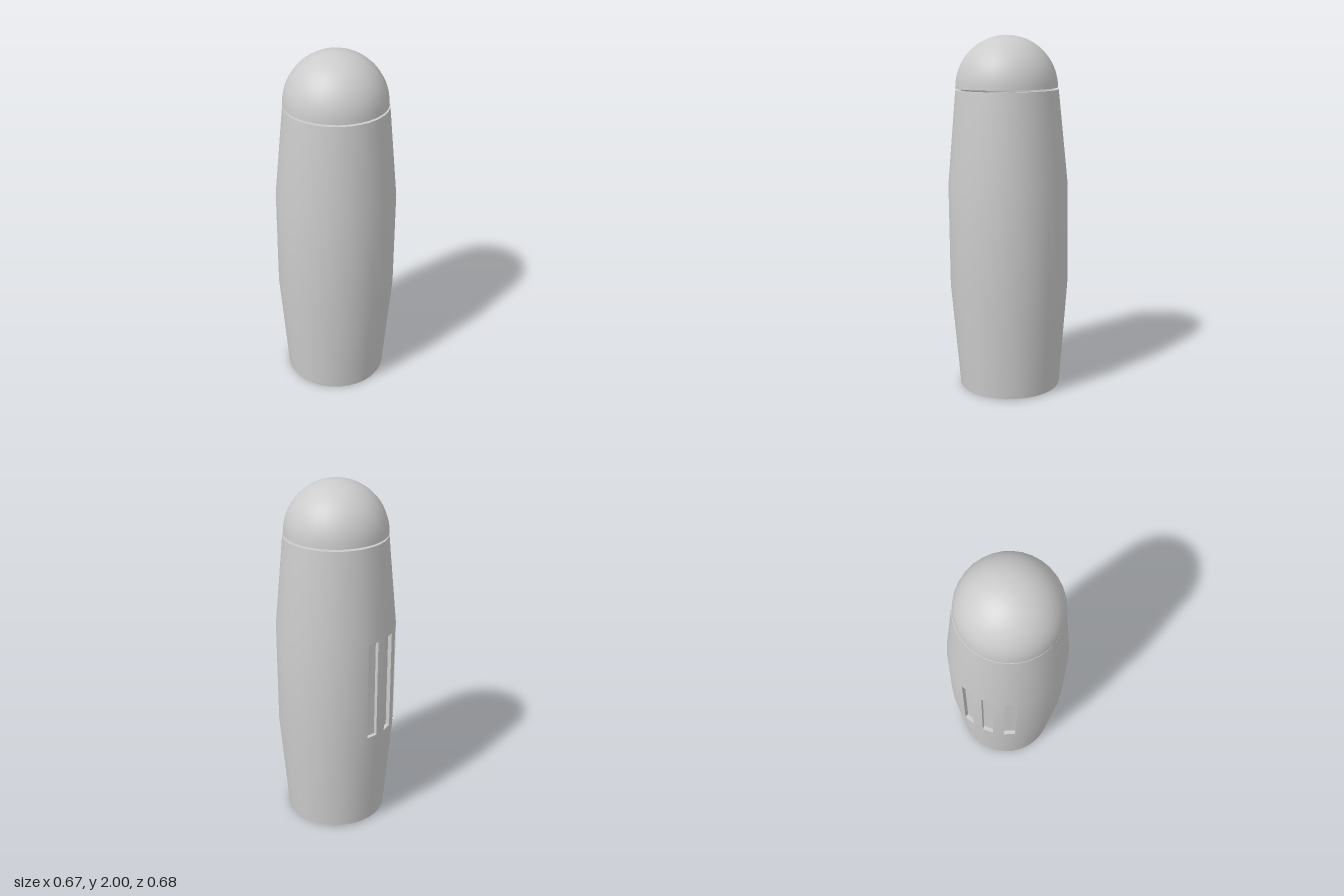
import * as THREE from 'three';

const SIDES = 32;
const STEP = (Math.PI * 2) / SIDES;
const START = 0.049;       // turn of the polygon about y
const WALL = 0.03;
const R = 0.336;           // widest radius
const SLOT_LOW = 0.6, SLOT_HIGH = 1.18, SLOT_DEPTH = 0.022;
const SLOT_FACES = [16, 18, 20];

const material = new THREE.MeshStandardMaterial({ color: 0xcccccc, side: THREE.DoubleSide });

function lathe(points) {
  return new THREE.LatheGeometry(points.map(([r, y]) => new THREE.Vector2(r, y)), SIDES, START);
}

function addMesh(parent, name, geometry) {
  const mesh = new THREE.Mesh(geometry, material);
  mesh.name = name;
  parent.add(mesh);
  return mesh;
}

// Open box seen from the inside, its missing side facing +z
function recessGeometry(w, h, d) {
  const g = new THREE.BoxGeometry(w, h, d);
  const index = Array.from(g.index.array);
  index.splice(24, 6);
  g.setIndex(index.reverse());
  g.computeVertexNormals();
  return g;
}

export function createModel() {
  const model = new THREE.Group();
  model.name = 'capsule';

  // Barrel-shaped tube, with the slot faces left out of the outer skin
  const body = new THREE.Group();
  body.name = 'body';
  const profile = [[0.288, 0], [R, SLOT_LOW], [R, SLOT_HIGH], [0.286, 1.702]];
  const skin = lathe(profile);
  const perSide = (profile.length - 1) * 6;
  skin.setIndex(Array.from(skin.index.array).filter((_, k) => {
    const side = Math.floor(k / perSide);
    const band = Math.floor((k % perSide) / 6);
    return !(band === 1 && SLOT_FACES.includes(side));
  }));
  addMesh(body, 'outerWall', skin);
  addMesh(body, 'innerWall', lathe(profile.map(([r, y]) => [r - WALL, y]).reverse()));
  addMesh(body, 'bottomRim', lathe([[0.288 - WALL, 0], [0.288, 0]]));
  addMesh(body, 'topRim', lathe([[0.286, 1.702], [0.286 - WALL, 1.702]]));

  // Three upright slots sunk into the back
  const apothem = R * Math.cos(STEP / 2);
  SLOT_FACES.forEach((face) => {
    const a = START + (face + 0.5) * STEP;
    const slot = addMesh(body, 'slot',
      recessGeometry(2 * R * Math.sin(STEP / 2), SLOT_HIGH - SLOT_LOW, SLOT_DEPTH));
    const r = apothem - SLOT_DEPTH / 2;
    slot.position.set(Math.sin(a) * r, (SLOT_LOW + SLOT_HIGH) / 2, Math.cos(a) * r);
    slot.rotation.y = a;
  });
  model.add(body);

  // Domed cap floating just above the tube
  const arc = (r, h) => Array.from({ length: 17 }, (_, i) => {
    const t = (i / 16) * Math.PI / 2;
    return [i === 16 ? 0 : r * Math.cos(t), 1.712 + h * Math.sin(t)];
  });
  const cap = new THREE.Group();
  cap.name = 'cap';
  addMesh(cap, 'dome', lathe(arc(0.284, 0.286)));
  addMesh(cap, 'domeInside', lathe(arc(0.284 - WALL, 0.286 - WALL).reverse()));
  addMesh(cap, 'domeRim', lathe([[0.284 - WALL, 1.712], [0.284, 1.712]]));
  cap.position.x = -0.003;
  model.add(cap);

  // The whole piece leans very slightly
  model.rotation.set(0.01, 0, 0.004);
  model.position.set(0, 0.002, -0.004);

  const root = new THREE.Group();
  root.name = 'model';
  root.add(model);
  return root;
}
